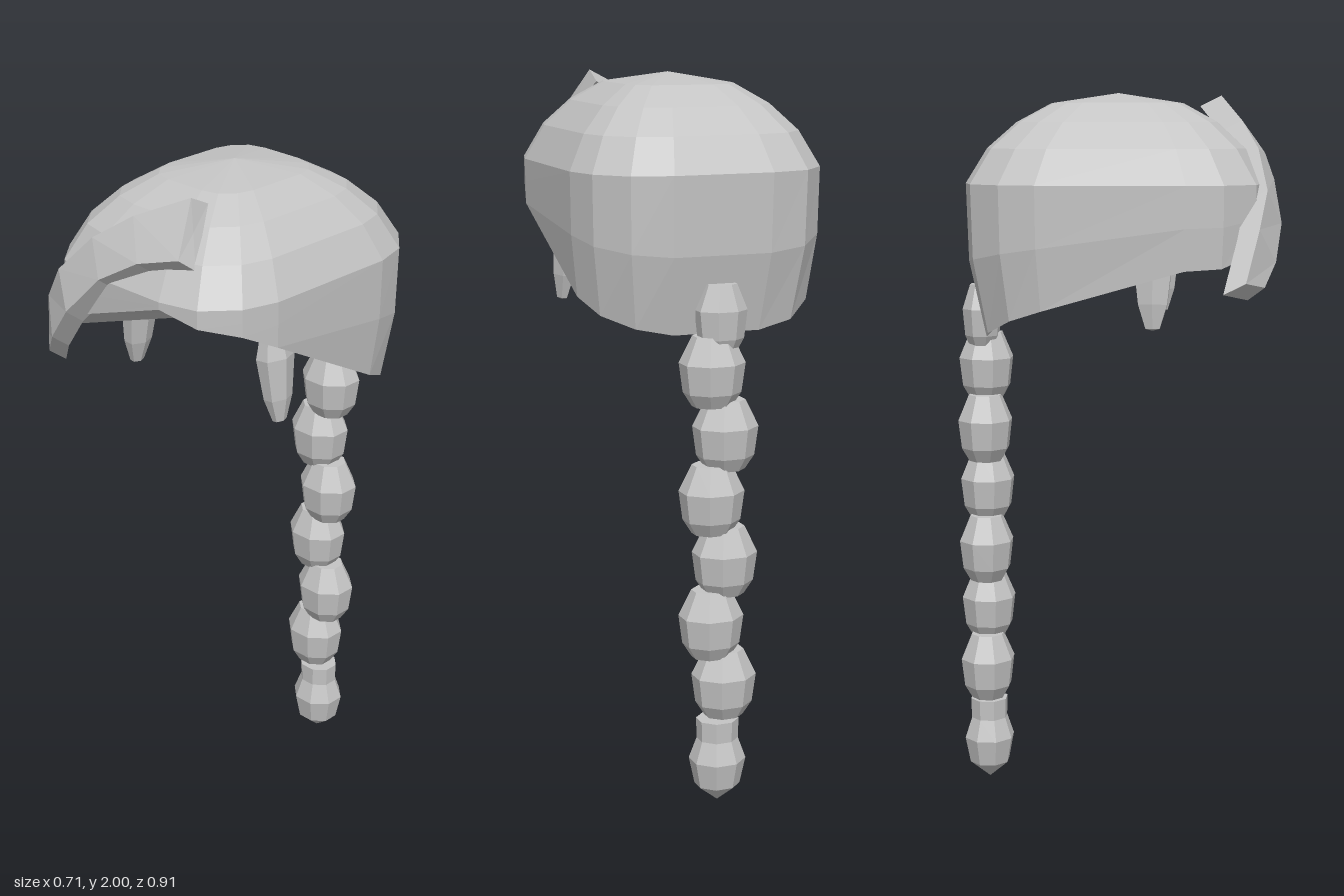
import * as THREE from 'three';

// Skin a list of rings (each a loop of [x, y, z]) and close both ends with fans.
function loft(rings, startTip, endTip) {
  const n = rings[0].length;
  const pos = [startTip, ...rings.flat(), endTip].flat();
  const end = 1 + n * rings.length;
  const index = [];
  for (let j = 0; j < n; j++) {
    const k = (j + 1) % n;
    index.push(0, 1 + k, 1 + j);
    for (let i = 0; i < rings.length - 1; i++) {
      const a = 1 + i * n + j, b = 1 + i * n + k;
      index.push(a, b, b + n, a, b + n, a + n);
    }
    index.push(end, end - n + j, end - n + k);
  }
  const g = new THREE.BufferGeometry();
  g.setAttribute('position', new THREE.Float32BufferAttribute(pos, 3));
  g.setIndex(index);
  const flat = g.toNonIndexed();
  flat.computeVertexNormals();
  return flat;
}

const average = (ring) => [0, 1, 2].map((i) => ring.reduce((s, p) => s + p[i], 0) / ring.length);

// Faceted solid turned from [radius, y] points, listed bottom to top.
const turned = (points, sides) => {
  const g = new THREE.LatheGeometry(points.map(([r, y]) => new THREE.Vector2(r, y)), sides);
  return g.rotateY(Math.PI / sides);
};

export function createModel() {
  const model = new THREE.Group();
  model.name = 'braidedHair';
  const hair = new THREE.MeshStandardMaterial({ color: 0xc4c4c4, flatShading: true });
  hair.name = 'hairGrey';

  const add = (name, geometry, parent = model) => {
    const mesh = new THREE.Mesh(geometry, hair);
    mesh.name = name;
    parent.add(mesh);
    return mesh;
  };

  // Cap: rounded-rectangle rings, with a rim that drops from the brow to the nape
  const quarter = [[0.353, 0.2], [0.325, 0.3], [0.25, 0.385], [0.14, 0.412]];
  const back = [...quarter].reverse();
  const outline = [
    ...quarter,
    ...back.map(([x, z]) => [-x, z]),
    ...quarter.map(([x, z]) => [-x, -z]),
    ...back.map(([x, z]) => [x, -z]),
  ];
  const rimY = [
    1.63, 1.68, 1.705, 1.735, 1.64, 1.57, 1.535, 1.53,
    1.42, 1.39, 1.35, 1.33, 1.33, 1.35, 1.38, 1.42,
  ];
  const dome = [[0.44, 1.972], [0.67, 1.92], [0.86, 1.85], [1, 1.755]].map(
    ([s, y]) => outline.map(([x, z]) => [x * s, y, z * s]));
  const skirt = [0.5, 1].map((t) => outline.map(([x, z], i) => {
    const drop = (1.755 - rimY[i]) * t;
    const s = 1 - 1.6 * drop ** 3;
    return [x * s, 1.755 - drop, z * s];
  }));
  // The hollow underside meets the inner back wall behind the centre
  add('cap', loft([...dome, ...skirt], [0, 2, 0], [0, 1.5, -0.22]));

  // Fringe: thick band swept across the brow, as [upper front edge, lower front edge]
  const stations = [
    [[0.13, 1.995, 0.285], [0.185, 1.87, 0.385]],
    [[-0.02, 1.925, 0.345], [0.06, 1.835, 0.41]],
    [[-0.13, 1.85, 0.39], [-0.06, 1.765, 0.435]],
    [[-0.24, 1.74, 0.415], [-0.17, 1.65, 0.455]],
    [[-0.31, 1.64, 0.395], [-0.25, 1.55, 0.44]],
    [[-0.36, 1.50, 0.36], [-0.3, 1.485, 0.41]],
  ];
  const band = stations.map(([up, low]) => [
    low, up,
    [up[0], up[1] - 0.03, up[2] - 0.06],
    [low[0] + 0.015, low[1] - 0.035, low[2] - 0.045],
  ]);
  add('fringe', loft(band, average(band[0]), average(band[band.length - 1])));

  // Pointed locks in front of the ears
  const lock = turned([[0, -0.13], [0.022, -0.125], [0.045, -0.06], [0.06, 0.055], [0.04, 0.13], [0, 0.14]], 6);
  for (const side of [1, -1]) {
    const mesh = add(side > 0 ? 'leftLock' : 'rightLock', lock);
    mesh.scale.x = 0.68;
    mesh.position.set(side * 0.265, 1.495, 0.11);
    mesh.rotation.z = side * 0.1;
  }

  // Braid: beads swaying from side to side, then a tied tail
  const braid = new THREE.Group();
  braid.name = 'braid';
  model.add(braid);
  const bead = turned([[0, -0.098], [0.055, -0.098], [0.08, -0.06], [0.091, 0.02], [0.055, 0.093], [0, 0.093]], 8);
  const knot = add('braidRoot', bead, braid);
  knot.scale.set(0.8, 0.95, 0.62);
  knot.position.set(0, 1.378, -0.39);
  for (let i = 0; i < 6; i++) {
    const mesh = add('braidBead', bead, braid);
    mesh.scale.z = 0.87;
    mesh.position.set(i % 2 ? -0.018 : 0.021, 1.235 - i * 0.176, -0.382);
  }
  const tail = turned([[0, 0.005], [0.064, 0.055], [0.08, 0.13], [0.058, 0.19], [0.06, 0.248], [0, 0.248]], 8);
  const tailMesh = add('braidTail', tail, braid);
  tailMesh.scale.z = 0.92;
  tailMesh.position.z = -0.382;

  return model;
}
